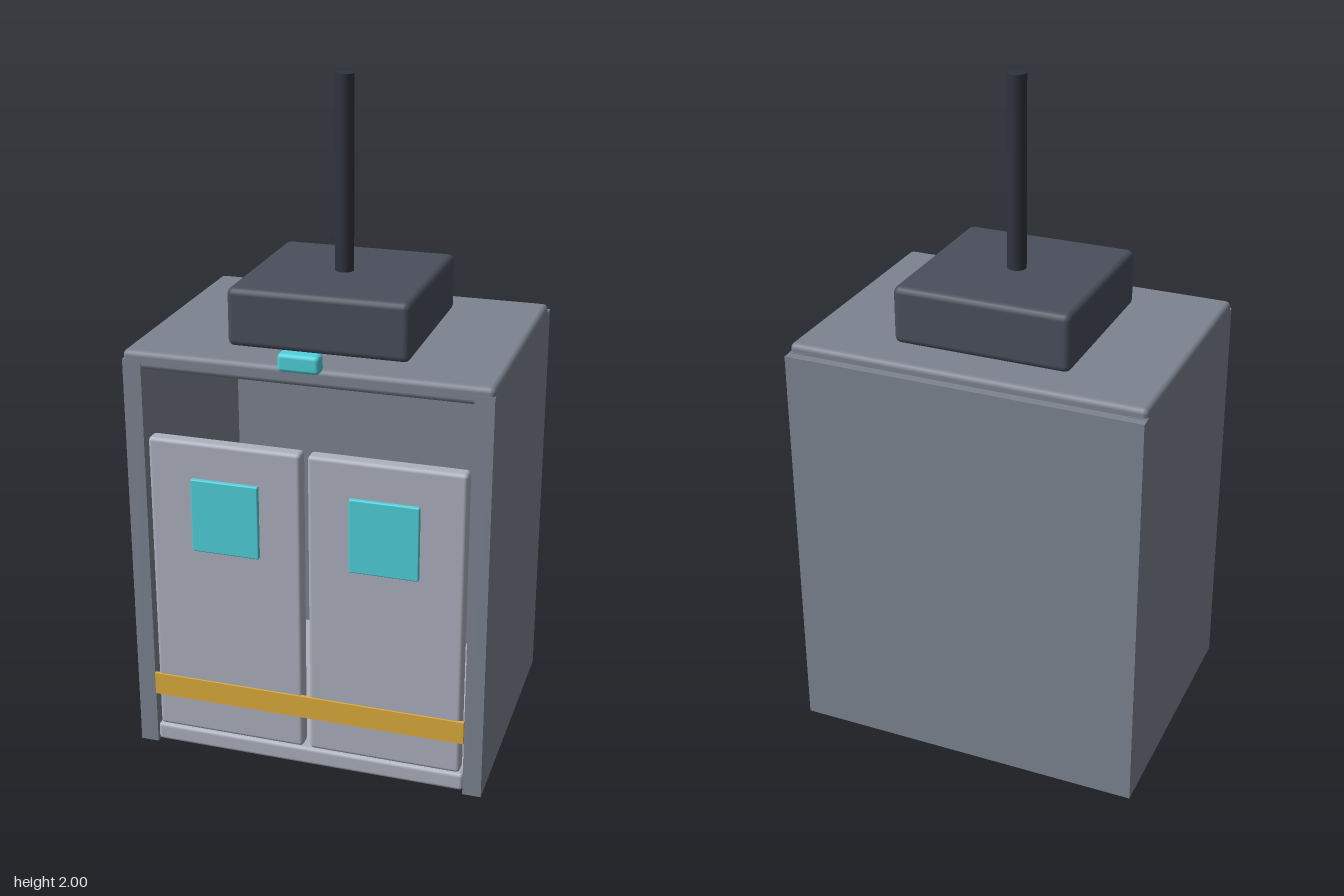
import * as THREE from 'three';
import { RoundedBoxGeometry } from 'three/addons/geometries/RoundedBoxGeometry.js';

const paint = (color) => new THREE.MeshStandardMaterial({ color });

export function createModel() {
  const car = new THREE.Group();
  car.name = 'elevatorCar';
  const shell = paint(0x7d8491);
  const panel = paint(0xaeb2be);
  const dark = paint(0x4a4f5c);
  const cableMat = paint(0x2f333e);
  const cyan = paint(0x50d2dd);
  const yellow = paint(0xdeae3c);

  // Box given by its min and max corners; bevel > 0 softens the edges
  function box(name, material, [x0, y0, z0], [x1, y1, z1], bevel = 0) {
    const size = [x1 - x0, y1 - y0, z1 - z0];
    const geometry = bevel
      ? new RoundedBoxGeometry(...size, 2, bevel)
      : new THREE.BoxGeometry(...size);
    const mesh = new THREE.Mesh(geometry, material);
    mesh.name = name;
    mesh.position.set((x0 + x1) / 2, (y0 + y1) / 2, (z0 + z1) / 2);
    car.add(mesh);
    return mesh;
  }

  // Open-fronted cabin shell
  box('backWall', shell, [-0.533, 0, -0.425], [0.533, 1.238, -0.372]);
  box('roof', shell, [-0.533, 1.212, -0.397], [0.533, 1.266, 0.383], 0.016);
  box('floor', panel, [-0.478, 0.005, -0.38], [0.478, 0.062, 0.38], 0.012);

  // Side walls, sliding doors and door windows, mirrored
  for (const s of [1, -1]) {
    const side = s > 0 ? 'left' : 'right';
    const pair = (name, mat, x0, x1, y0, y1, z0, z1, bevel) =>
      box(side + name, mat,
        [Math.min(s * x0, s * x1), y0, z0], [Math.max(s * x0, s * x1), y1, z1], bevel);
    pair('Wall', shell, 0.478, 0.533, 0, 1.24, -0.4, 0.384);
    pair('Door', panel, 0.01, 0.467, 0.066, 1.01, 0.335, 0.383, 0.012);
    pair('Window', cyan, 0.134, 0.337, 0.675, 0.9, 0.372, 0.395, 0.004);
  }

  // Warning stripe across both doors
  box('warningStripe', yellow, [-0.477, 0.172, 0.378], [0.477, 0.242, 0.389]);

  // Roof machinery and floor indicator lamp
  box('hoistHousing', dark, [-0.266, 1.262, -0.274], [0.266, 1.435, 0.259], 0.02);
  box('indicatorLamp', cyan, [-0.06, 1.264, 0.379], [0.06, 1.317, 0.425], 0.012);

  // Hoist cable
  const cable = new THREE.Mesh(new THREE.CylinderGeometry(0.028, 0.028, 0.58, 16), cableMat);
  cable.name = 'hoistCable';
  cable.position.set(0, 1.71, -0.007);
  car.add(cable);

  return car;
}
